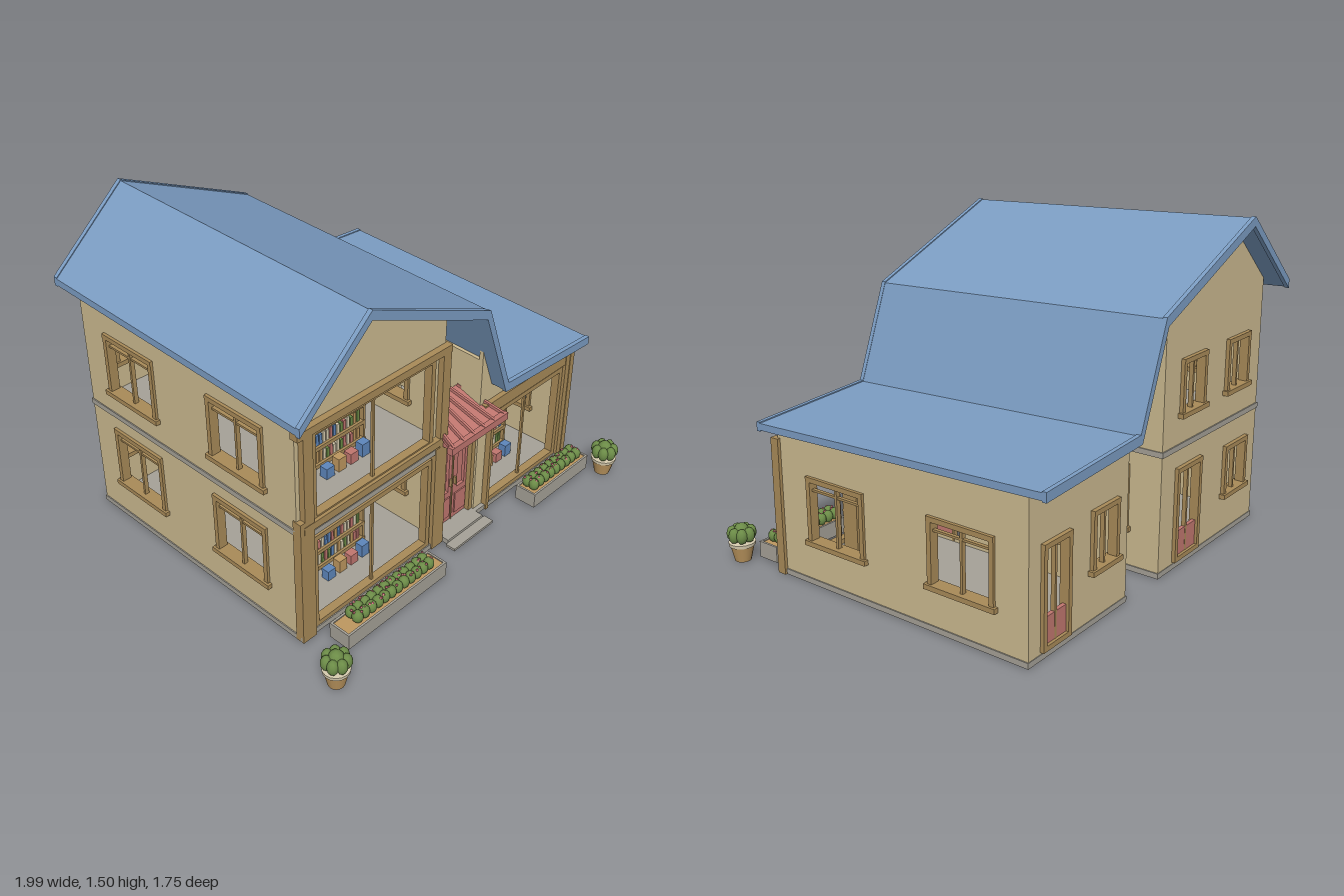
import * as THREE from 'three';

const mat = (name, color, side = THREE.FrontSide) => {
  const m = new THREE.MeshStandardMaterial({ color, side });
  m.name = name;
  return m;
};
const M = {
  wall: mat('beigePlaster', 0xcbb98f), wood: mat('wood', 0xa88a58), roof: mat('blueRoof', 0x7b9cc2),
  red: mat('dustyRed', 0xc0766f), stone: mat('greyStone', 0xa5a197), leaf: mat('leafGreen', 0x6d8d48),
  flower: mat('pinkFlower', 0xcf7880), pot: mat('clayPot', 0xbd975f), blue: mat('bookBlue', 0x5d86bb),
  cream: mat('cream', 0xd8cdb0),
};
const BACK = -0.77, FRONT = 0.54, SLOPE = 0.037, UP = 0.49;

// Roof cross-sections at z = 0; the whole roof rises gently towards the back
const TOP = [[-0.92, 1.132], [-0.545, 1.463], [0.165, 1.166], [0.33, 0.737], [0.945, 0.703]];
const LOW = [[-0.92, 1.1], [-0.545, 1.43], [0.148, 1.138], [0.315, 0.705], [0.945, 0.672]];
function under(x, z) {
  let i = 0;
  while (i < 3 && x > LOW[i + 1][0]) i++;
  const [a, b] = [LOW[i], LOW[i + 1]];
  return a[1] + (b[1] - a[1]) * (x - a[0]) / (b[0] - a[0]) - SLOPE * z + 0.006;
}

export function createModel() {
  const root = new THREE.Group();
  root.name = 'house';
  let seed = 7;
  const rnd = () => (seed = (seed * 16807) % 2147483647) / 2147483647;
  const add = (name, geo, m, x = 0, y = 0, z = 0, parent = root) => {
    const mesh = new THREE.Mesh(geo, m);
    mesh.name = name;
    mesh.position.set(x, y, z);
    parent.add(mesh);
    return mesh;
  };
  // Box given by its limits on each axis
  const box = (name, m, x0, x1, y0, y1, z0, z1, parent = root) =>
    add(name, new THREE.BoxGeometry(x1 - x0, y1 - y0, z1 - z0), m, (x0 + x1) / 2, (y0 + y1) / 2, (z0 + z1) / 2, parent);
  const extrude = (pts, holes, depth) => {
    const s = new THREE.Shape(pts.map(p => new THREE.Vector2(...p)));
    for (const [u0, u1, y0, y1] of holes)
      s.holes.push(new THREE.Path([[u0, y0], [u0, y1], [u1, y1], [u1, y0]].map(p => new THREE.Vector2(...p))));
    return new THREE.ExtrudeGeometry(s, { depth, bevelEnabled: false });
  };

  // Roof slab and raised edge boards at both gables
  const roofPiece = (name, z0, z1, grow) => {
    const pts = [...TOP.map(([x, y]) => [x, y + grow]), ...LOW.map(([x, y]) => [x, y - grow]).reverse()].reverse();
    const g = extrude(pts, [], z1 - z0).translate(0, 0, z0);
    const p = g.attributes.position;
    for (let i = 0; i < p.count; i++) p.setY(i, p.getY(i) - SLOPE * p.getZ(i));
    g.computeVertexNormals();
    add(name, g, M.roof);
  };
  roofPiece('roof', -0.86, 0.605, 0);
  roofPiece('frontRoofEdge', 0.6, 0.62, 0.005);
  roofPiece('backRoofEdge', -0.875, -0.855, 0.005);

  // Window frame with sill and mullion; axis is the direction of the wall's normal
  const bar = (g, axis, plane, u0, u1, y0, y1, d, m = M.wood, name = 'frameBar') => axis === 'x'
    ? box(name, m, plane - d, plane + d, y0, y1, u0, u1, g)
    : box(name, m, u0, u1, y0, y1, plane - d, plane + d, g);
  const opening = (axis, plane, [u0, u1, y0, y1], door) => {
    const g = new THREE.Group(), t = 0.016, c = (u0 + u1) / 2;
    g.name = door ? 'backDoor' : 'window';
    root.add(g);
    bar(g, axis, plane, u0 - t, u0 + 0.006, y0 - t, y1 + t, 0.022);
    bar(g, axis, plane, u1 - 0.006, u1 + t, y0 - t, y1 + t, 0.022);
    bar(g, axis, plane, u0 - t, u1 + t, y1 - 0.006, y1 + t, 0.024);
    bar(g, axis, plane, u0 - (door ? t : 0.028), u1 + (door ? t : 0.028), y0 - t, y0 + 0.006, door ? 0.022 : 0.032);
    bar(g, axis, plane, c - 0.006, c + 0.006, y0, y1, 0.01);
    if (door) bar(g, axis, plane, u0, u1, y0, y0 + 0.12, 0.009, M.red, 'doorPanel');
    else if (axis === 'x') bar(g, axis, plane, u0, u1, y1 - 0.05, y1 - 0.04, 0.008);
  };

  // Long walls, running along z
  const lower = [[0.065, 0.355, 0.2, 0.475], [-0.6, -0.305, 0.2, 0.475]];
  const upper = lower.map(([a, b, c, d]) => [a, b, c + UP, d + UP]);
  const sideWall = (name, x, windows, extra = []) => {
    const pts = [[BACK, 0.02], [FRONT, 0.02], [FRONT, under(x, FRONT)], [BACK, under(x, BACK)]];
    add(name, extrude(pts, [...windows, ...extra], 0.02), M.wall, x).rotation.y = -Math.PI / 2;
    windows.forEach(w => opening('x', x - 0.01, w));
  };
  sideWall('leftWingOuterWall', -0.855, [...lower, ...upper]);
  sideWall('leftWingInnerWall', -0.02, [...lower, ...upper]);
  sideWall('rightWingInnerWall', 0.26, [lower[1]], [[0.065, 0.5, 0.04, 0.5]]);
  sideWall('rightWingOuterWall', 0.905, lower);
  box('redSideDoor', M.red, 0.246, 0.256, 0.03, 0.5, 0.14, 0.5);
  box('sideDoorPost', M.wood, 0.24, 0.264, 0.03, 0.51, 0.128, 0.14);

  // Gable walls, running along x
  const gable = (name, x0, x1, y0, z, kink, holes) => {
    const pts = [[x0, y0], [x1, y0], ...[x1, kink, x0].map(x => [x, under(x, z)])];
    add(name, extrude(pts, holes, 0.02), M.wall, 0, 0, z);
  };
  const leftHoles = [[-0.76, -0.58, 0.21, 0.43], [-0.735, -0.56, 0.71, 0.935], [-0.335, -0.165, 0.71, 0.935]];
  const leftDoor = [-0.33, -0.15, 0.05, 0.455], rightHole = [0.335, 0.49, 0.24, 0.48], rightDoor = [0.665, 0.815, 0.05, 0.46];
  gable('leftWingBackWall', -0.875, -0.02, 0.02, BACK, -0.545, [...leftHoles, leftDoor]);
  gable('rightWingBackWall', 0.24, 0.905, 0.02, BACK, 0.315, [rightHole, rightDoor]);
  gable('leftWingFrontGable', -0.875, -0.02, 1.0, FRONT - 0.02, -0.545, []);
  gable('rightWingFrontGable', 0.24, 0.905, 0.52, FRONT - 0.02, 0.315, []);
  [...leftHoles, rightHole].forEach(h => opening('z', BACK + 0.005, h));
  [leftDoor, rightDoor].forEach(h => opening('z', BACK + 0.005, h, true));

  // Floors, ceilings and base slabs
  box('leftWingBase', M.stone, -0.88, -0.015, 0, 0.025, BACK - 0.003, 0.56);
  box('rightWingBase', M.stone, 0.235, 0.91, 0, 0.025, BACK - 0.003, 0.56);
  box('upperFloor', M.stone, -0.88, -0.015, 0.55, 0.575, BACK - 0.006, 0.55);
  box('leftCeiling', M.wall, -0.86, -0.03, 1.02, 1.035, BACK + 0.01, 0.53);
  box('rightCeiling', M.wall, 0.25, 0.89, 0.6, 0.615, BACK + 0.01, 0.53);

  // Open shop fronts: posts, rails, thin inner frame and centre mullion
  const shopFront = (name, x0, x1, y0, y1) => {
    const g = new THREE.Group(), c = (x0 + x1) / 2;
    g.name = name;
    root.add(g);
    for (const x of [x0, x1]) box('jamb', M.wood, x - 0.012, x + 0.012, y0, y1, 0.515, 0.555, g);
    for (const y of [y0 + 0.01, y1 - 0.01]) box('rail', M.wood, x0, x1, y - 0.012, y + 0.012, 0.515, 0.555, g);
    box('mullion', M.wood, c - 0.006, c + 0.006, y0, y1, 0.53, 0.542, g);
  };
  shopFront('lowerLeftShopFront', -0.79, -0.105, 0.025, 0.5);
  shopFront('upperLeftShopFront', -0.79, -0.105, 0.58, 1.01);
  shopFront('rightShopFront', 0.315, 0.84, 0.025, 0.53);
  for (const [a, b] of [[-0.87, -0.79], [-0.105, -0.02]]) box('frontWallStrip', M.wall, a, b, 0.02, 1.02, 0.52, 0.54);
  for (const [a, b] of [[0.24, 0.315], [0.84, 0.905]]) box('frontWallStrip', M.wall, a, b, 0.02, 0.54, 0.52, 0.54);
  box('wallBehindFloor', M.wall, -0.87, -0.02, 0.495, 0.555, 0.52, 0.54);
  box('lowerLintel', M.stone, -0.83, -0.08, 0.525, 0.55, 0.53, 0.565);
  box('floorBeam', M.wood, -0.86, -0.05, 0.56, 0.595, 0.53, 0.57);
  box('topBeam', M.wood, -0.885, -0.01, 1.01, 1.045, 0.53, 0.57);
  box('rightBeam', M.wood, 0.25, 0.91, 0.545, 0.605, 0.53, 0.565);
  for (const [x0, x1, h] of [[-0.88, -0.835, 0.62], [-0.855, -0.805, 1.02], [-0.085, -0.035, 0.55],
    [-0.06, -0.012, 1.02], [0.3, 0.318, 0.55], [0.855, 0.885, 0.6], [0.89, 0.92, 0.62]])
    box('frontPost', M.wood, x0, x1, 0, h, 0.525, 0.568);

  // Entrance: red double door in a wood frame, steps and sloping canopy
  const leaves = extrude([[0, 0.025], [0.225, 0.025], [0.225, 0.5], [0, 0.5]],
    [[0.05, 0.09, 0.19, 0.47], [0.15, 0.2, 0.19, 0.47]], 0.016);
  add('frontDoor', leaves, M.red, 0, 0, 0.49);
  for (const x of [-0.012, 0.216]) box('doorPost', M.wood, x, x + 0.024, 0, 0.5, 0.48, 0.53);
  box('doorGap', M.wood, 0.11, 0.116, 0.025, 0.48, 0.505, 0.511);
  box('doorHead', M.wood, -0.012, 0.24, 0.48, 0.51, 0.48, 0.53);
  for (const x of [0.025, 0.135]) box('doorLowerPanel', M.red, x, x + 0.075, 0.05, 0.16, 0.505, 0.512);
  for (const x of [0.096, 0.125]) box('doorHandle', M.wood, x, x + 0.008, 0.22, 0.26, 0.506, 0.52);
  box('wallOverDoor', M.wall, -0.02, 0.24, 0.505, 0.6, 0.49, 0.51);
  box('upperStep', M.stone, -0.01, 0.235, 0, 0.025, 0.47, 0.6);
  box('lowerStep', M.stone, -0.025, 0.25, 0, 0.012, 0.6, 0.65);
  const canopy = new THREE.Group();
  canopy.name = 'canopy';
  canopy.position.set(0.12, 0.56, 0.635);
  canopy.rotation.x = 0.33 - Math.PI / 2;
  root.add(canopy);
  add('canopySheet', extrude([[-0.185, 0], [0.185, 0], [0.125, 0.25], [-0.125, 0.25]], [], 0.012), M.red, 0, 0, 0, canopy);
  for (let i = 0; i < 6; i++) {
    const t = i / 5 - 0.5;
    const rib = add('canopyRib', new THREE.BoxGeometry(0.012, 0.25, 0.02), M.red, t * 0.295, 0.125, 0.016, canopy);
    rib.rotation.z = Math.atan(t * 0.11 / 0.25);
  }
  box('canopyBeam', M.red, -0.072, 0.308, 0.55, 0.585, 0.618, 0.645);
  for (const x of [-0.04, 0.265]) box('canopyBracket', M.red, x, x + 0.015, 0.545, 0.57, 0.53, 0.63);

  // Bookcases with rows of books, and goods standing in front
  const covers = [M.blue, M.red, M.cream, M.leaf, M.pot];
  const pick = () => covers[Math.floor(rnd() * covers.length)];
  const bookcase = (x, y, rows) => {
    const g = new THREE.Group(), w = 0.19, step = 0.087, h = rows * step + 0.02;
    g.name = 'bookcase';
    g.position.set(x, y, 0.28);
    root.add(g);
    box('backBoard', M.wood, -w, w, 0, h, -0.04, -0.03, g);
    for (const s of [-w, w - 0.012]) box('side', M.wood, s, s + 0.012, 0, h, -0.04, 0.04, g);
    for (let r = 0; r <= rows; r++) {
      const sy = r * step;
      box('shelf', M.wood, -w, w, sy, sy + 0.018, -0.04, 0.042, g);
      if (r < rows) for (let i = 0; i < 17; i++) {
        const bx = -0.17 + i * 0.02, bh = 0.04 + rnd() * 0.018;
        box('book', pick(), bx, bx + 0.015, sy + 0.018, sy + 0.018 + bh, -0.03, 0.03, g);
      }
    }
    [M.blue, M.pot, M.red, M.blue].forEach((m, i) => {
      const gx = -0.12 + i * 0.07;
      box('displayBox', m, gx, gx + 0.045, 0, 0.05 + 0.012 * (i % 2), 0.08, 0.12, g);
    });
  };
  bookcase(-0.45, 0.025, 4);
  bookcase(-0.45, 0.575, 3.5 | 0);
  bookcase(0.57, 0.025, 4);

  // Stone planters with clipped shrubs and flowers
  const blob = new THREE.IcosahedronGeometry(1, 1), bud = new THREE.OctahedronGeometry(0.008);
  const shrub = (x, y, z, r, ry, g) => add('shrub', blob, M.leaf, x, y, z, g).scale.set(r, ry, r);
  const planter = (name, x0, x1, b0, b1) => {
    const g = new THREE.Group(), n = Math.round((b1 - b0) / 0.04);
    g.name = name;
    root.add(g);
    box('trough', M.stone, x0, x1, 0.012, 0.078, 0.622, 0.73, g);
    for (const z of [0.622, 0.72]) box('rimLong', M.stone, x0, x1, 0.078, 0.086, z, z + 0.01, g);
    for (const x of [x0, x1 - 0.01]) box('rimShort', M.stone, x, x + 0.01, 0.078, 0.086, 0.622, 0.73, g);
    box('soil', M.pot, x0 + 0.01, x1 - 0.01, 0.07, 0.081, 0.632, 0.72, g);
    for (let i = 0; i < n; i++) for (const z of [0.655, 0.692]) {
      const x = b0 + (i + 0.5) * (b1 - b0) / n;
      shrub(x, 0.107, z, 0.025, 0.03, g);
      for (let k = 0; k < 2; k++) add('flower', bud, M.flower, x + (rnd() - 0.5) * 0.03, 0.131, z + (rnd() - 0.5) * 0.03, g);
    }
  };
  planter('leftPlanter', -0.785, -0.18, -0.715, -0.235);
  planter('rightPlanter', 0.455, 0.88, 0.475, 0.85);

  // Round clay pots with bushes
  for (const [x, z] of [[-0.936, 0.808], [0.928, 0.79]]) {
    const g = new THREE.Group();
    g.name = 'pottedBush';
    g.position.set(x, 0, z);
    root.add(g);
    add('pot', new THREE.CylinderGeometry(0.054, 0.036, 0.076, 16), M.pot, 0, 0.038, 0, g);
    add('potRim', new THREE.CylinderGeometry(0.06, 0.058, 0.016, 16), M.cream, 0, 0.08, 0, g);
    for (let i = 0; i < 7; i++) {
      const a = i * Math.PI * 2 / 7;
      shrub(Math.cos(a) * 0.041, 0.125, Math.sin(a) * 0.041, 0.025, 0.036, g);
    }
    shrub(0, 0.135, 0, 0.035, 0.04, g);
  }
  return root;
}
